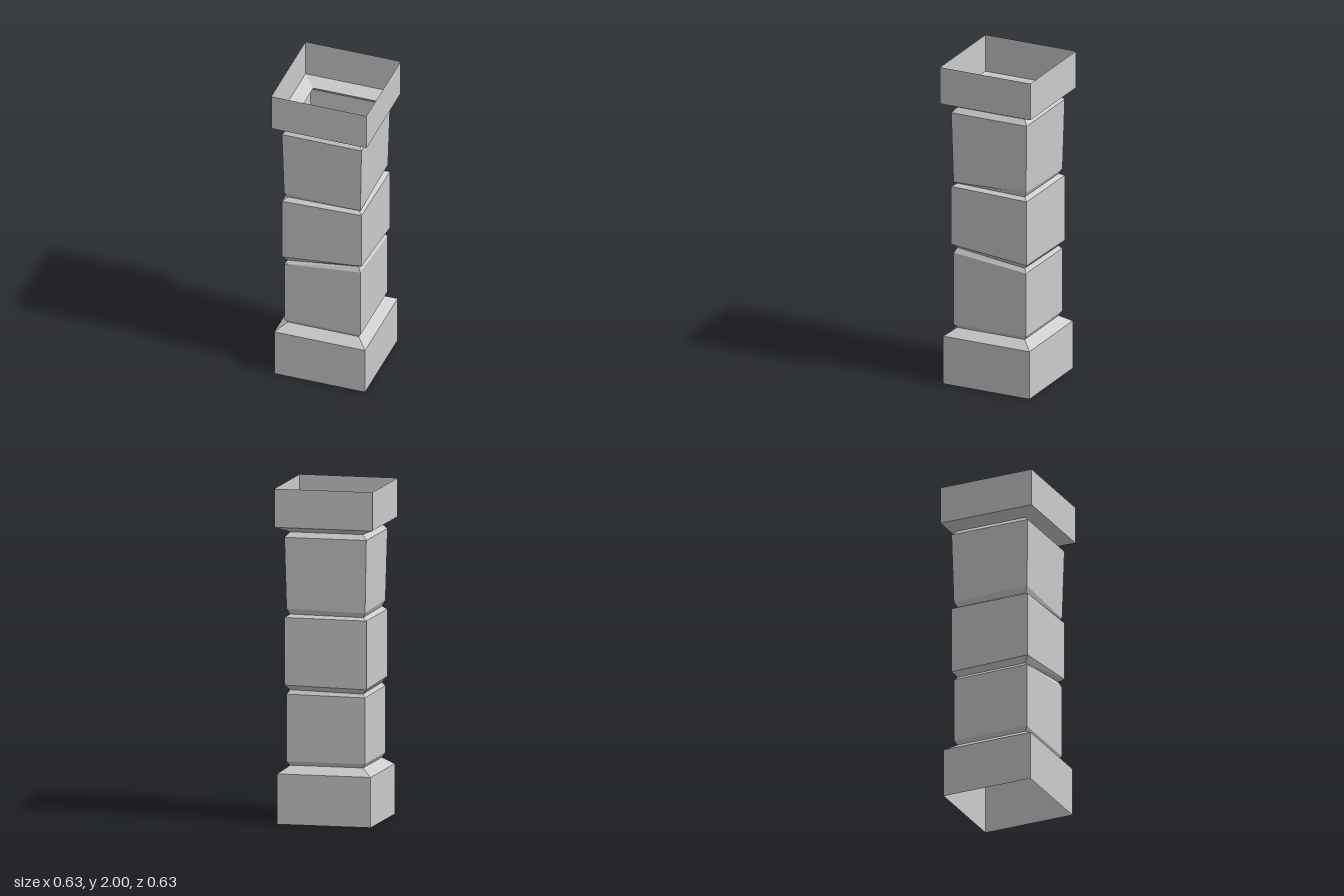
import * as THREE from 'three';

const TWIST = 0.057; // the whole column is turned slightly about y
const NECK = 0.222; // half width of the grooves

// Corner order: front +x, front -x, back -x, back +x
const CORNERS = [[1, 1], [-1, 1], [-1, -1], [1, -1]];

// A ring is [half width, height] or [half width, [height at each corner]]
function ringPoints([half, heights]) {
  const c = Math.cos(TWIST), s = Math.sin(TWIST);
  return CORNERS.map(([x, z], i) => new THREE.Vector3(
    half * (x * c + z * s),
    Array.isArray(heights) ? heights[i] : heights,
    half * (z * c - x * s)
  ));
}

// Open square sleeve skinned through a stack of rings
function sleeve(name, rings, material) {
  const positions = [];
  const loops = rings.map(ringPoints);
  for (let r = 0; r < loops.length - 1; r++) {
    for (let i = 0; i < 4; i++) {
      const j = (i + 1) % 4;
      const a = loops[r][i], b = loops[r][j];
      const d = loops[r + 1][i], e = loops[r + 1][j];
      for (const p of [a, d, b, b, d, e]) positions.push(p.x, p.y, p.z);
    }
  }
  const geometry = new THREE.BufferGeometry();
  geometry.setAttribute('position', new THREE.Float32BufferAttribute(positions, 3));
  geometry.computeVertexNormals();
  const mesh = new THREE.Mesh(geometry, material);
  mesh.name = name;
  return mesh;
}

export function createModel() {
  const group = new THREE.Group();
  group.name = 'stoneColumn';
  const material = new THREE.MeshStandardMaterial({
    color: 0xcccccc, flatShading: true, side: THREE.DoubleSide,
  });

  // Grooves shared by neighbouring blocks
  const baseNeck = [NECK, 0.345];
  const lowerNeck = [NECK, [0.85, 0.79, 0.785, 0.795]];
  const upperNeck = [NECK, [1.255, 1.245, 1.24, 1.245]];
  const capNeck = [NECK, 1.735];

  const parts = {
    base: [[0.284, 0], [0.284, 0.3], baseNeck],
    // Top slopes up toward one corner
    lowerBlock: [baseNeck, [0.238, 0.37], [0.238, [0.82, 0.77, 0.765, 0.77]], lowerNeck],
    middleBlock: [lowerNeck, [0.249, [0.875, 0.825, 0.815, 0.825]],
      [0.249, [1.24, 1.225, 1.225, 1.228]], upperNeck],
    // Widens slightly toward the top
    upperBlock: [upperNeck, [0.239, [1.265, 1.28, 1.268, 1.28]], [0.249, 1.705], capNeck],
    cap: [capNeck, [0.298, 1.77], [0.298, 2]],
  };
  for (const [name, rings] of Object.entries(parts)) group.add(sleeve(name, rings, material));
  return group;
}
